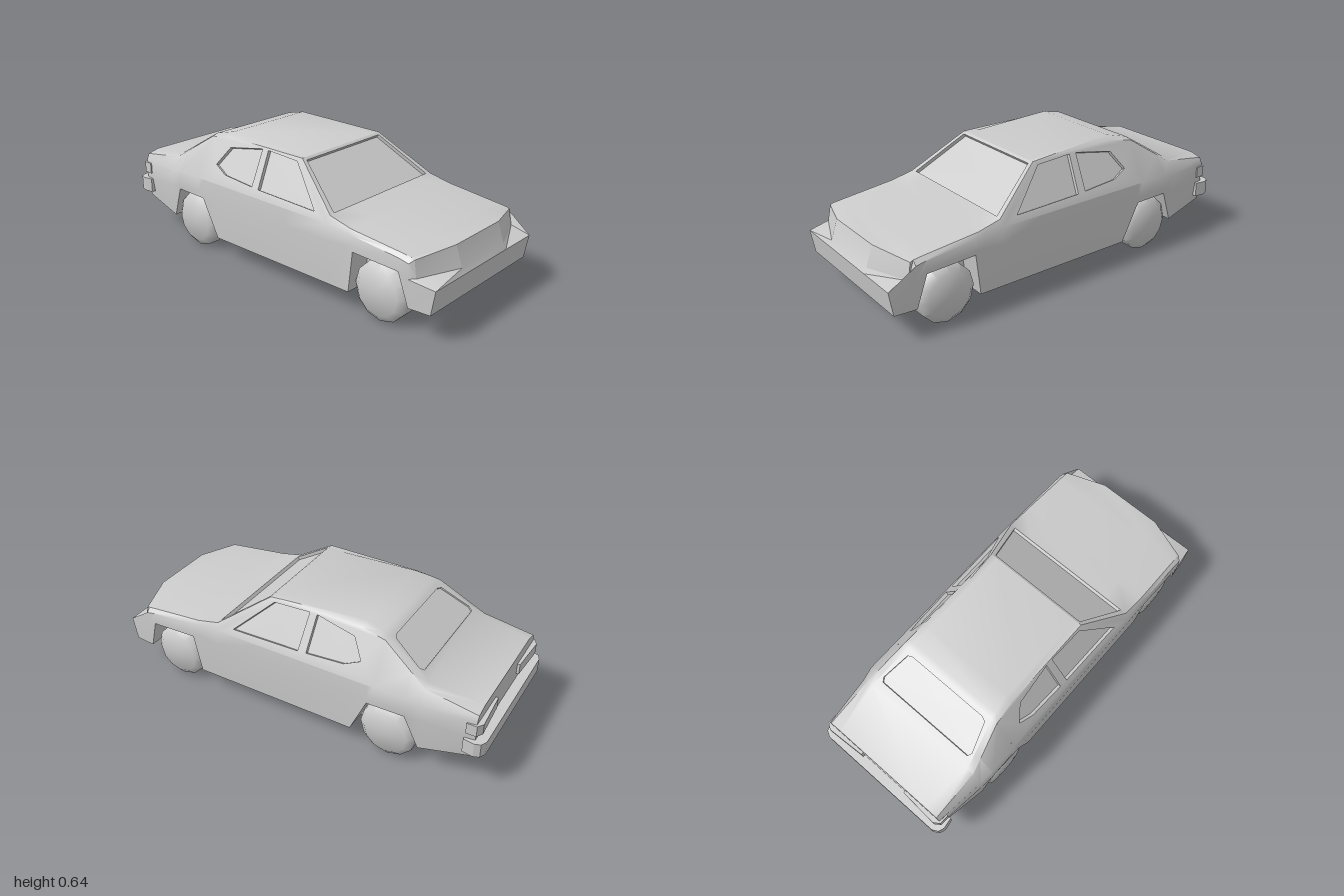
import * as THREE from 'three';
import { toCreasedNormals } from 'three/addons/utils/BufferGeometryUtils.js';

const V = (x, y, z) => new THREE.Vector3(x, y, z);
const paint = new THREE.MeshStandardMaterial({ color: 0xcccccc, side: THREE.DoubleSide });

// Collects triangles; with an outward hint the winding is corrected
class Skin {
  constructor() { this.positions = []; }
  tri(a, b, c, outward) {
    const n = b.clone().sub(a).cross(c.clone().sub(a));
    if (n.length() < 1e-8) return;
    if (outward && n.dot(outward) < 0) [b, c] = [c, b];
    for (const p of [a, b, c]) this.positions.push(p.x, p.y, p.z);
  }
  quad(a, b, c, d, outward) {
    this.tri(a, b, c, outward);
    this.tri(a, c, d, outward);
  }
  mesh(name, crease = 0.6) {
    const g = new THREE.BufferGeometry();
    g.setAttribute('position', new THREE.Float32BufferAttribute(this.positions, 3));
    return named(name, toCreasedNormals(g, crease));
  }
}

function named(name, geometry) {
  const m = new THREE.Mesh(geometry, paint);
  m.name = name;
  return m;
}

// Half sections: z, floor y, sill y, sill x, then (x, y) of flank, shoulder, upper edge, top
const sections = [
  [0.87, 0.14, 0.14, 0.395, 0.403, 0.28, 0.40, 0.35, 0.38, 0.372, 0.17, 0.392],
  [0.82, 0.135, 0.30, 0.405, 0.405, 0.32, 0.40, 0.36, 0.38, 0.378, 0.20, 0.397],
  [0.57, 0.105, 0.31, 0.405, 0.405, 0.33, 0.40, 0.385, 0.385, 0.405, 0.24, 0.42],
  [0.54, 0.10, 0.10, 0.395, 0.405, 0.33, 0.40, 0.385, 0.385, 0.408, 0.24, 0.423],
  [0.42, 0.10, 0.10, 0.395, 0.405, 0.32, 0.40, 0.40, 0.382, 0.435, 0.25, 0.435],
  [0.16, 0.10, 0.10, 0.395, 0.405, 0.32, 0.40, 0.40, 0.285, 0.62, 0.25, 0.62],
  [-0.34, 0.10, 0.10, 0.395, 0.405, 0.32, 0.40, 0.40, 0.285, 0.62, 0.25, 0.64],
  [-0.43, 0.108, 0.30, 0.405, 0.405, 0.33, 0.40, 0.40, 0.293, 0.605, 0.261, 0.6175],
  [-0.46, 0.11, 0.30, 0.405, 0.405, 0.33, 0.40, 0.40, 0.295, 0.60, 0.265, 0.61],
  [-0.62, 0.124, 0.30, 0.40, 0.405, 0.33, 0.40, 0.40, 0.33, 0.496, 0.296, 0.509],
  [-0.69, 0.13, 0.13, 0.385, 0.395, 0.30, 0.39, 0.38, 0.345, 0.45, 0.31, 0.465],
  [-0.95, 0.17, 0.17, 0.345, 0.36, 0.28, 0.36, 0.38, 0.345, 0.41, 0.28, 0.425],
];
const WELL = 0.285; // inner wall of the wheel wells

const mirrorRing = half => [...half, ...half.slice(1).reverse().map(p => V(-p.x, p.y, p.z))];

function ring([z, floor, sill, sillX, mx, my, sx, sy, ex, ey, tx, ty]) {
  return mirrorRing([V(0, floor, z), V(WELL, floor, z), V(WELL, sill, z), V(sillX, sill, z),
    V(mx, my, z), V(sx, sy, z), V(ex, ey, z), V(tx, ty, z)]);
}

// Panel with recessed windows; map takes (u, v) to a point in space
function windowPanel(skin, group, outer, windows, map, outward, depth) {
  const to2 = list => list.map(([u, v]) => new THREE.Vector2(u, v));
  const contour = to2(outer), holes = windows.map(w => to2(w.outline));
  if (THREE.ShapeUtils.isClockWise(contour)) contour.reverse();
  for (const h of holes) if (!THREE.ShapeUtils.isClockWise(h)) h.reverse();
  const faces = THREE.ShapeUtils.triangulateShape(contour, holes);
  const pts = [contour, ...holes].flat().map(p => map(p.x, p.y));
  for (const [a, b, c] of faces) skin.tri(pts[a], pts[b], pts[c], outward);

  holes.forEach((hole, i) => {
    const rim = hole.map(p => map(p.x, p.y));
    const sunk = rim.map(p => p.clone().addScaledVector(outward, -depth));
    const middle = sunk.reduce((s, p) => s.add(p), V(0, 0, 0)).divideScalar(sunk.length);
    const glass = new Skin();
    rim.forEach((p, k) => {
      const n = (k + 1) % rim.length;
      skin.quad(p, rim[n], sunk[n], sunk[k], middle.clone().sub(p));
      glass.tri(middle, sunk[k], sunk[n], outward);
    });
    group.add(glass.mesh(windows[i].name));
  });
}

// Plan outline (x, z) raised from y to y + height
function slab(name, outline, y, height) {
  const shape = new THREE.Shape(outline.map(([x, z]) => new THREE.Vector2(x, -z)));
  const g = new THREE.ExtrudeGeometry(shape, { depth: height, bevelEnabled: false });
  g.rotateX(-Math.PI / 2).translate(0, y, 0);
  return named(name, g);
}

function buildBody(group) {
  const skin = new Skin();
  const nose = mirrorRing([V(0, 0.14, 0.98), V(WELL, 0.14, 0.98), V(WELL, 0.14, 0.98), V(0.385, 0.14, 0.98),
    V(0.385, 0.26, 1), V(0.385, 0.285, 0.9), V(0.38, 0.365, 0.885), V(0.17, 0.385, 0.95)]);
  const rings = [nose, ...sections.map(ring)];

  // Lofted shell, left open where the window panels go
  const within = (i, front, back) => rings[i][0].z <= front && rings[i + 1][0].z >= back;
  for (let i = 0; i < rings.length - 1; i++) {
    const A = rings[i], B = rings[i + 1];
    for (let k = 0; k < A.length; k++) {
      const n = (k + 1) % A.length;
      if ((k === 5 || k === 9) && within(i, 0.42, -0.46)) continue;
      if (k >= 6 && k <= 8 && within(i, 0.42, 0.16)) continue;
      if (k === 7 && within(i, -0.46, -0.69)) continue;
      skin.quad(A[k], B[k], B[n], A[n]);
    }
  }

  // Tail panel
  const tail = rings.at(-1);
  tail.forEach((p, k) => skin.tri(V(0, 0.3, -0.95), p, tail[(k + 1) % tail.length], V(0, 0, -1)));

  // Front bumper and grille, with raked-back headlights at the corners
  const rows = [
    [V(0.17, 0.14, 0.98), V(0.385, 0.14, 0.98)],
    [V(0.17, 0.26, 1), V(0.385, 0.26, 1)],
    [V(0.17, 0.285, 0.985), V(0.385, 0.285, 0.9)],
    [V(0.17, 0.385, 0.95), V(0.38, 0.365, 0.885)],
  ].map(([a, b]) => [V(-b.x, b.y, b.z), V(-a.x, a.y, a.z), a, b]);
  const ahead = V(0, 0.3, 1);
  for (let r = 0; r < 3; r++) {
    for (let c = 0; c < 3; c++) {
      const lamp = r === 2 && c !== 1;
      const target = lamp ? new Skin() : skin;
      target.quad(rows[r][c], rows[r][c + 1], rows[r + 1][c + 1], rows[r + 1][c], ahead);
      if (lamp) group.add(target.mesh(c === 0 ? 'rightHeadlight' : 'leftHeadlight'));
    }
  }

  // Side windows, u = z and v = y on the sloping cabin side
  const sideOuter = [[0.42, 0.40], [0.42, 0.435], [0.16, 0.62], [-0.34, 0.62], [-0.46, 0.60], [-0.46, 0.40]];
  for (const s of [1, -1]) {
    const side = s > 0 ? 'left' : 'right';
    windowPanel(skin, group, sideOuter, [
      { name: side + 'FrontWindow', outline: [[0.325, 0.43], [0.135, 0.602], [-0.06, 0.61], [-0.045, 0.437]] },
      { name: side + 'RearWindow', outline: [[-0.1, 0.61], [-0.31, 0.575], [-0.37, 0.485], [-0.29, 0.452], [-0.09, 0.44]] },
    ], (z, y) => V(s * (0.40 - (y - 0.40) * 0.524), y, z), V(s, 0.524, 0).normalize(), 0.018);
  }

  // Windscreen
  windowPanel(skin, group, [[-0.382, 0], [0.382, 0], [0.285, 1], [-0.285, 1]],
    [{ name: 'windscreen', outline: [[-0.352, 0.015], [0.352, 0.015], [0.268, 0.95], [-0.268, 0.95]] }],
    (x, t) => V(x, 0.435 + 0.185 * t, 0.42 - 0.26 * t), V(0, 0.26, 0.185).normalize(), 0.018);

  // Rear window
  const halfRear = [[0.22, 0.085], [0.244, 0.13], [0.284, 0.73], [0.272, 0.82]];
  windowPanel(skin, group, [[-0.265, 0], [0.265, 0], [0.31, 1], [-0.31, 1]],
    [{ name: 'rearWindow', outline: [...halfRear, ...halfRear.map(([x, t]) => [-x, t]).reverse()] }],
    (x, t) => V(x, 0.61 - 0.145 * t, -0.46 - 0.23 * t), V(0, 0.23, -0.145).normalize(), 0.008);

  group.add(skin.mesh('body'));
}

export function createModel() {
  const car = new THREE.Group();
  car.name = 'car';
  buildBody(car);

  // Wrap-around rear bumper
  const halfBumper = [[0.345, -0.9], [0.378, -0.9], [0.386, -0.955], [0.375, -0.985], [0.345, -1]];
  car.add(slab('rearBumper', [...halfBumper, ...halfBumper.map(([x, z]) => [-x, z]).reverse()], 0.205, 0.075));

  // Tail lights and wheels on both sides
  const tyre = [[0, 0], [0.145, 0], [0.145, 0.065], [0.11, 0.095], [0, 0.097]].map(p => new THREE.Vector2(...p));
  const wheel = toCreasedNormals(new THREE.LatheGeometry(tyre, 12), 0.9);
  for (const s of [1, -1]) {
    const side = s > 0 ? 'left' : 'right';
    const lamp = [[0.14, -0.94], [0.14, -0.963], [0.34, -0.975], [0.37, -0.955], [0.372, -0.905], [0.345, -0.905]];
    car.add(slab(side + 'TailLight', lamp.map(([x, z]) => [s * x, z]), 0.31, 0.058));
    for (const [end, z] of [['Front', 0.7], ['Rear', -0.525]]) {
      const w = named(side + end + 'Wheel', wheel);
      w.rotation.z = -s * Math.PI / 2;
      w.position.set(s * 0.295, 0.145, z);
      car.add(w);
    }
  }
  return car;
}
